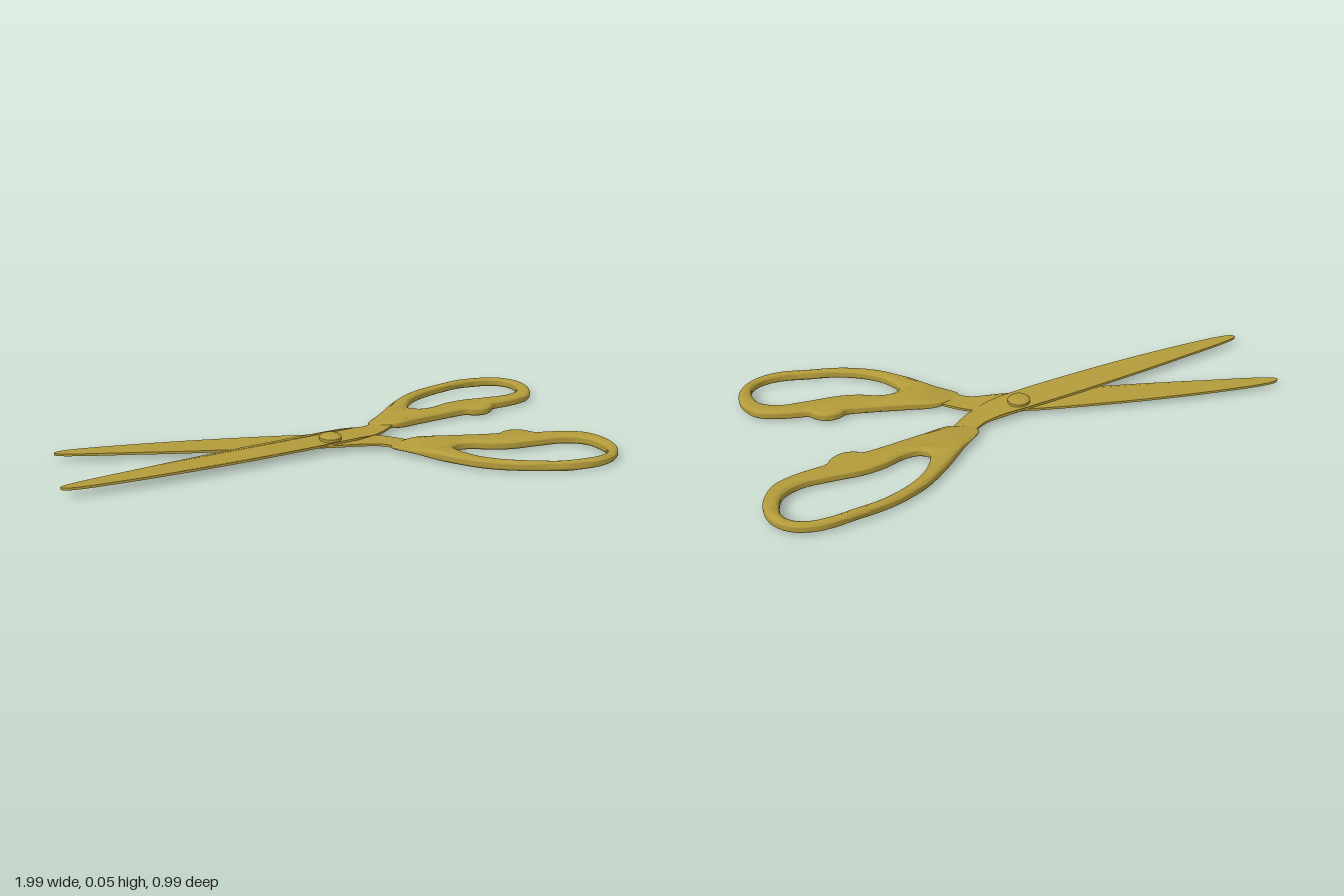
import * as THREE from 'three';
import { toCreasedNormals } from 'three/addons/utils/BufferGeometryUtils.js';

const material = new THREE.MeshStandardMaterial({ color: 0xb39b3a });
const smoothstep = THREE.MathUtils.smoothstep;

// Smooth closed outline through a few points; the second value is -z
function outline(points, samples) {
  const curve = new THREE.CatmullRomCurve3(
    points.map(([x, v]) => new THREE.Vector3(x, v, 0)), true, 'centripetal');
  return curve.getPoints(samples).slice(0, -1).map((p) => new THREE.Vector2(p.x, p.y));
}

// Change the height of every vertex by a rule
function reshape(geometry, rule) {
  const p = geometry.attributes.position;
  for (let i = 0; i < p.count; i++) p.setY(i, rule(p.getX(i), p.getY(i), p.getZ(i)));
  return geometry;
}

function makeMesh(name, geometry, crease) {
  const mesh = new THREE.Mesh(toCreasedNormals(geometry, crease), material);
  mesh.name = name;
  return mesh;
}

const bladePoints = [
  [-1, -0.152], [-0.99, -0.165], [-0.95, -0.172], [-0.8, -0.165], [-0.51, -0.135],
  [-0.21, -0.09], [0, -0.05], [0.13, -0.015], [0.2, 0.02], [0.28, 0.088], [0.32, 0.13],
  [0.25, 0.18], [0.2, 0.125], [0.16, 0.1], [0, 0.073], [-0.32, 0.013], [-0.7, -0.07],
];

const handlePoints = [
  [0.278, 0.086], [0.4, 0.107], [0.56, 0.139], [0.625, 0.147], [0.647, 0.134],
  [0.695, 0.128], [0.738, 0.15], [0.76, 0.176], [0.813, 0.187], [0.882, 0.203],
  [0.947, 0.235], [0.984, 0.294], [0.994, 0.348], [0.981, 0.412], [0.936, 0.465],
  [0.872, 0.492], [0.802, 0.497], [0.695, 0.481], [0.56, 0.444], [0.455, 0.39],
  [0.374, 0.32], [0.278, 0.22], [0.198, 0.134],
];

const holePoints = [
  [0.406, 0.24], [0.412, 0.22], [0.444, 0.203], [0.497, 0.209], [0.56, 0.235],
  [0.64, 0.251], [0.75, 0.251], [0.855, 0.257], [0.92, 0.294], [0.941, 0.348],
  [0.941, 0.4], [0.914, 0.439], [0.866, 0.46], [0.8, 0.463], [0.71, 0.45],
  [0.604, 0.422], [0.508, 0.374], [0.444, 0.316],
];

// Flat blade whose tang bends to the middle of the handle
function makeBlade(base) {
  const thickness = 0.009;
  const geometry = new THREE.ExtrudeGeometry(new THREE.Shape(outline(bladePoints, 120)),
    { depth: thickness, bevelEnabled: false });
  geometry.rotateX(-Math.PI / 2);
  reshape(geometry, (x, y) =>
    y + base - smoothstep(x, 0.06, 0.2) * (base + thickness / 2));
  return makeMesh('blade', geometry, 0.6);
}

// Rounded finger loop with a grip bump, thinning toward the blade
function makeHandle() {
  const bevel = 0.0155;
  const depth = 0.006;
  const shape = new THREE.Shape(outline(handlePoints, 140));
  shape.holes.push(new THREE.Path(outline(holePoints, 110)));
  const geometry = new THREE.ExtrudeGeometry(shape, {
    depth, bevelSize: bevel, bevelThickness: bevel, bevelOffset: -bevel, bevelSegments: 6,
  });
  geometry.translate(0, 0, -depth / 2);
  geometry.rotateX(-Math.PI / 2);
  reshape(geometry, (x, y, z) => {
    const taper = 0.3 + 0.7 * smoothstep(x, 0.2, 0.36);
    const lift = 0.004 * Math.exp(-(((x - 0.72) / 0.07) ** 2)) * smoothstep(-z, 0.38, 0.46);
    return y * taper + lift;
  });
  return makeMesh('handle', geometry, 0.8);
}

function makeHalf(name, bladeBase) {
  const half = new THREE.Group();
  half.name = name;
  half.add(makeBlade(bladeBase), makeHandle());
  half.position.y = 0.0235;
  return half;
}

export function createModel() {
  const model = new THREE.Group();
  model.name = 'scissors';

  const upperHalf = makeHalf('upperHalf', 0.0065);

  // The lower half is the same piece turned over
  const lowerHalf = makeHalf('lowerHalf', -0.0065);
  lowerHalf.rotation.set(Math.PI, 0.015, 0);
  lowerHalf.position.z = -0.017;

  // Pivot screw with a domed head on both sides
  const profile = [
    [0, -0.021], [0.026, -0.0205], [0.036, -0.018], [0.042, -0.013], [0.042, 0.013],
    [0.036, 0.018], [0.026, 0.0205], [0, 0.021],
  ].map(([r, y]) => new THREE.Vector2(r, y));
  const screw = makeMesh('pivotScrew', new THREE.LatheGeometry(profile, 40), 0.6);
  screw.position.set(0.002, 0.029, -0.012);

  model.add(upperHalf, lowerHalf, screw);
  return model;
}
